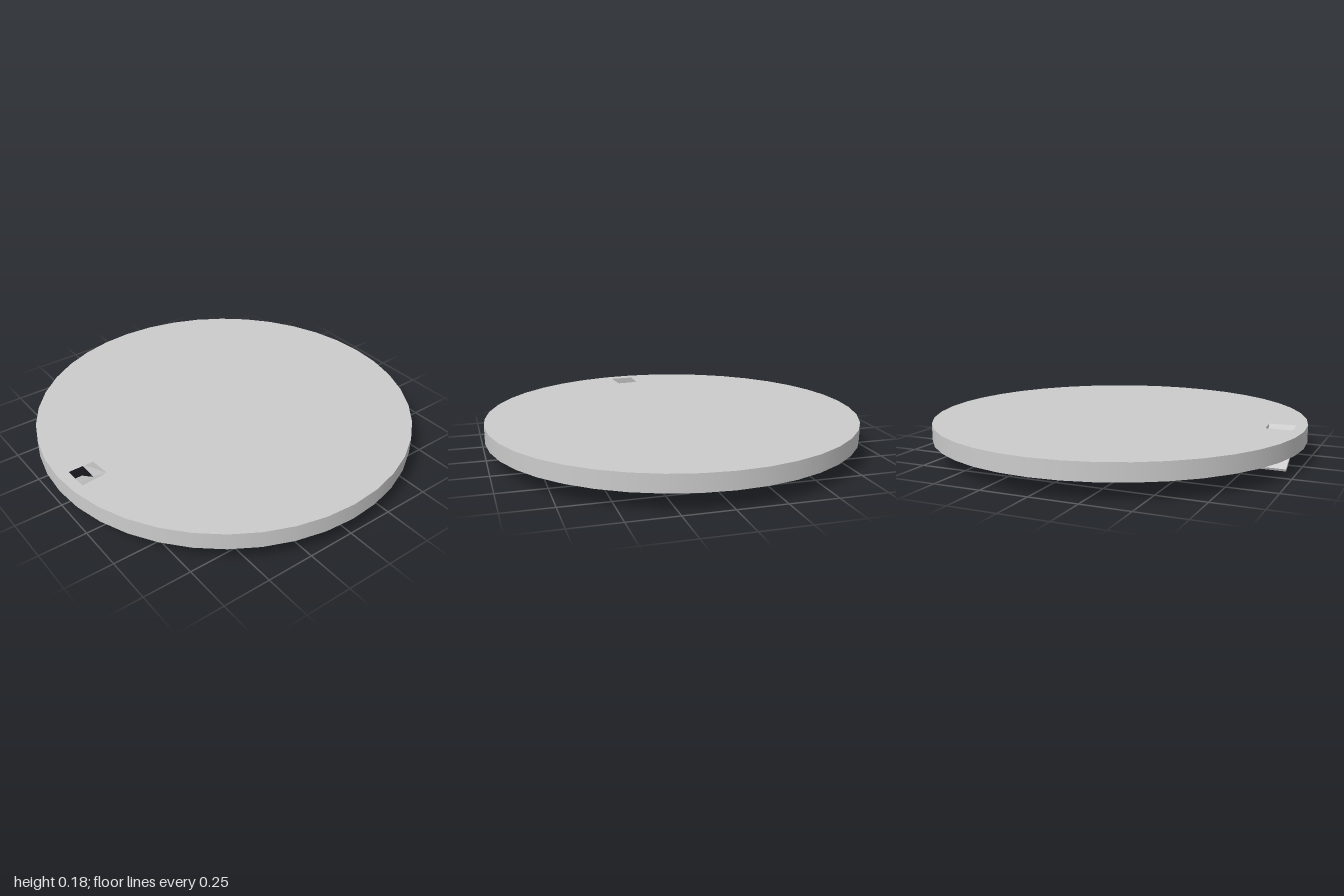
import * as THREE from 'three';

const TOP = 0.18, BOTTOM = 0.09, SIDES = 40;

// Slot corners as [x, z], in the same order on both faces; the slot slants backwards as it goes down
const slotTop = [[-0.94, 0], [-0.805, 0], [-0.795, 0.115], [-0.935, 0.13]];
const slotBottom = [[-0.945, -0.13], [-0.815, -0.13], [-0.815, 0], [-0.945, 0]];

// Flat disc face pierced by the slot; facing is 1 for up, -1 for down
function discFace(slot, facing) {
  const toPoint = ([x, z]) => new THREE.Vector2(x, -facing * z);
  const rim = [];
  for (let i = 0; i < SIDES; i++) {
    const a = (i / SIDES) * Math.PI * 2;
    rim.push(new THREE.Vector2(Math.cos(a), Math.sin(a)));
  }
  const shape = new THREE.Shape(rim);
  shape.holes.push(new THREE.Path(slot.map(toPoint)));
  return new THREE.ShapeGeometry(shape).rotateX(-facing * Math.PI / 2);
}

// Four inward-facing walls joining the two slot outlines
function slotWallGeometry() {
  const positions = [];
  for (let i = 0; i < 4; i++) {
    const j = (i + 1) % 4;
    const at = (p, y) => [p[0], y, p[1]];
    const a = at(slotBottom[i], BOTTOM), b = at(slotBottom[j], BOTTOM);
    const c = at(slotTop[j], TOP), d = at(slotTop[i], TOP);
    positions.push(...a, ...b, ...c, ...a, ...c, ...d);
  }
  const geometry = new THREE.BufferGeometry();
  geometry.setAttribute('position', new THREE.Float32BufferAttribute(positions, 3));
  geometry.computeVertexNormals();
  return geometry;
}

// Thin plate sloping down behind the slot, drawn from the side and extruded along x
function bladeGeometry() {
  const profile = [[0.003, 0.09], [-0.13, 0.012], [-0.124, 0], [0.009, 0.079]];
  const shape = new THREE.Shape(profile.map(([z, y]) => new THREE.Vector2(-z, y)));
  return new THREE.ExtrudeGeometry(shape, { depth: 0.13, bevelEnabled: false })
    .rotateY(Math.PI / 2)
    .translate(-0.945, 0, 0);
}

export function createModel() {
  const model = new THREE.Group();
  model.name = 'slottedDisc';
  const material = new THREE.MeshStandardMaterial({ color: 0xcccccc });
  const add = (name, geometry, y = 0) => {
    const mesh = new THREE.Mesh(geometry, material);
    mesh.name = name;
    mesh.position.y = y;
    model.add(mesh);
  };

  // Disc
  add('discTop', discFace(slotTop, 1), TOP);
  add('discBottom', discFace(slotBottom, -1), BOTTOM);
  add('discRim', new THREE.CylinderGeometry(1, 1, TOP - BOTTOM, SIDES, 1, true), (TOP + BOTTOM) / 2);

  // Slanted slot and the blade under it
  add('slotWalls', slotWallGeometry());
  add('blade', bladeGeometry());
  return model;
}
